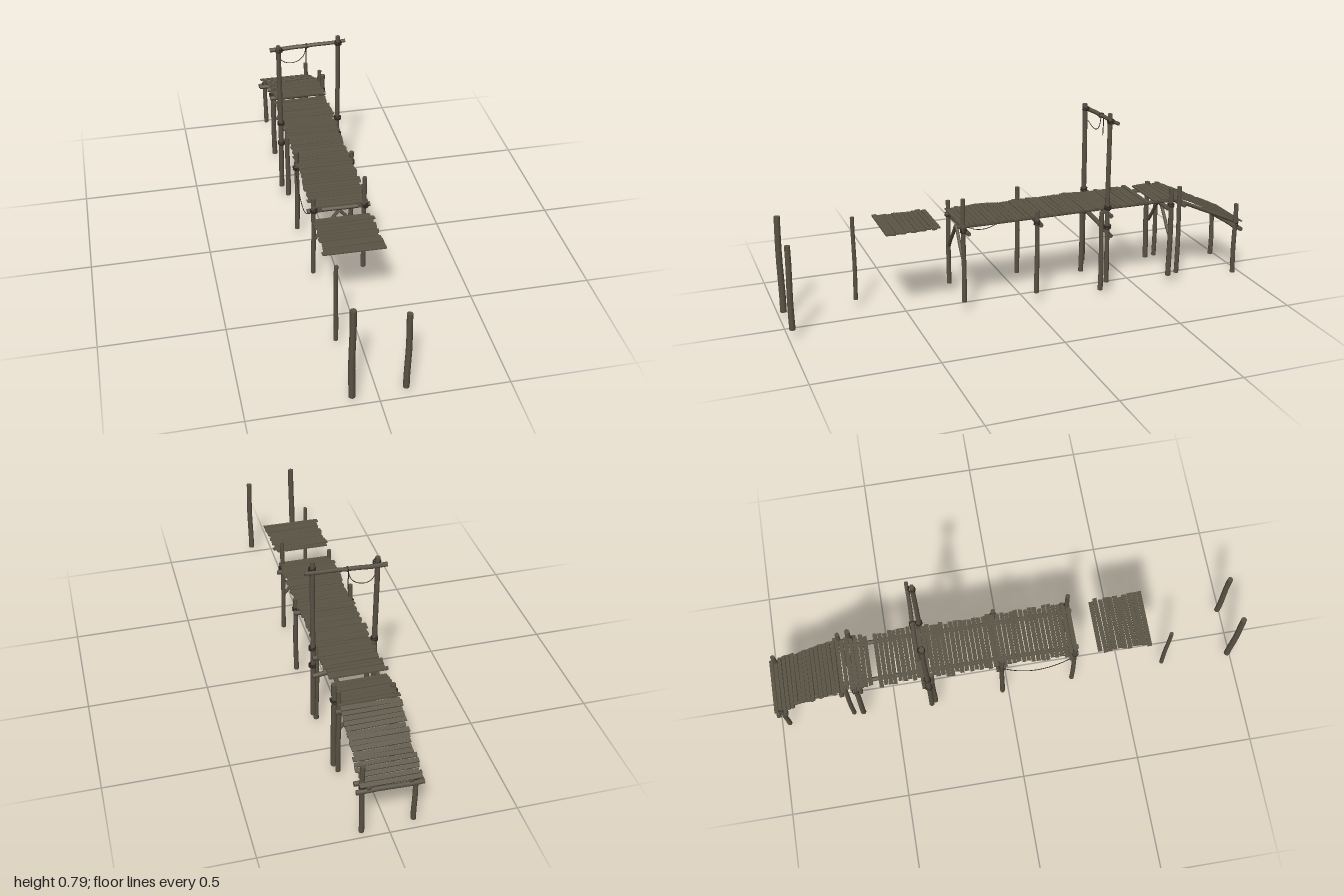
import * as THREE from 'three';

export function createModel() {
  const model = new THREE.Group();
  const mat = (name, color, side = THREE.FrontSide) => {
    const m = new THREE.MeshStandardMaterial({ color, side });
    m.name = name;
    return m;
  };
  const logWood = mat('log wood', 0x595144);
  const plankWood = mat('plank wood', 0x5a5445);
  const ropeFibre = mat('rope', 0x2c2822);

  let seed = 11;
  const rand = () => (seed = (seed * 16807) % 2147483647) / 2147483647;
  const jit = (a) => (rand() * 2 - 1) * a;
  const V = (x, y, z) => new THREE.Vector3(x, y, z);
  const UP = V(0, 1, 0);

  const add = (name, geo, material) => {
    const mesh = new THREE.Mesh(geo, material);
    mesh.name = name;
    model.add(mesh);
    return mesh;
  };

  // A slightly crooked round log between two points
  function log(name, a, b, r) {
    const dir = b.clone().sub(a), len = dir.length();
    const geo = new THREE.CylinderGeometry(r * 0.92, r, len, 9, 6);
    const pos = geo.attributes.position, phase = rand() * 6, bend = r * 0.12;
    for (let i = 0; i < pos.count; i++) {
      const t = pos.getY(i) / len;
      pos.setX(i, pos.getX(i) + Math.sin(t * 7 + phase) * bend);
      pos.setZ(i, pos.getZ(i) + Math.cos(t * 6 + phase) * bend);
    }
    geo.computeVertexNormals();
    const mesh = add(name, geo, logWood);
    mesh.position.copy(a).lerp(b, 0.5);
    mesh.quaternion.setFromUnitVectors(UP, dir.normalize());
    return mesh;
  }
  const post = (x, z, y0, y1, r = 0.011) => log('post', V(x, y0, z), V(x + jit(0.002), y1, z), r);

  // Rope wrapped in a few turns round a post
  function lashing(x, y, z, r = 0.012) {
    for (let i = -1; i <= 1; i++) {
      const ring = add('lashing', new THREE.TorusGeometry(r, 0.0025, 5, 12), ropeFibre);
      ring.position.set(x, y + i * 0.006, z);
      ring.rotation.set(Math.PI / 2 + jit(0.2), jit(0.2), 0);
    }
  }

  function rope(points, r = 0.0016) {
    add('rope', new THREE.TubeGeometry(new THREE.CatmullRomCurve3(points), 28, r, 5), ropeFibre);
  }

  // A row of rough boards from (z0, y0) to (z1, y1)
  function boards(name, z0, y0, z1, y1, n, xMin = -0.117, xMax = 0.112) {
    const dz = z1 - z0, dy = y1 - y0, pitch = Math.hypot(dz, dy) / n;
    const tilt = -Math.atan2(dy, dz);
    for (let i = 0; i < n; i++) {
      const t = (i + 0.5) / n, l = xMin + jit(0.008), r = xMax + jit(0.008);
      const geo = new THREE.BoxGeometry(r - l, 0.006, pitch * (0.9 + jit(0.08)));
      const p = geo.attributes.position, skew = jit(0.003);
      for (let k = 0; k < p.count; k++) {
        if (p.getZ(k) > 0) p.setX(k, p.getX(k) + skew);
      }
      const board = add(name, geo, plankWood);
      board.position.set((l + r) / 2, y0 + dy * t + jit(0.0015), z0 + dz * t);
      board.rotation.set(tilt + jit(0.03), jit(0.014), jit(0.006));
    }
  }

  // Walkway, with a gap where a board is missing, loose far section and ramp
  boards('deckBoard', -0.54, 0.382, 0.292, 0.382, 42);
  boards('deckBoard', -0.70, 0.382, -0.563, 0.382, 7);
  boards('looseBoard', 0.372, 0.384, 0.60, 0.384, 11, -0.127, 0.106);
  boards('rampBoard', -0.995, 0.24, -0.70, 0.378, 16);

  // Long bearers under the deck and the ramp
  for (const s of [-1, 1]) {
    log('deckBearer', V(s * 0.08, 0.37, -0.69), V(s * 0.08, 0.37, 0.298), 0.009);
    log('rampBearer', V(s * 0.08, 0.226, -0.99), V(s * 0.08, 0.367, -0.685), 0.009);
  }

  // Free-standing posts: x, z, bottom, top, radius
  [[-0.105, 0.985, 0.03, 0.44, 0.0135], [0.101, 0.985, 0.04, 0.39, 0.0125], [-0.1, 0.685, 0.04, 0.40, 0.009],
    // Deck posts
    [-0.107, 0.28, 0.05, 0.42, 0.010], [0.1, 0.28, 0.05, 0.493, 0.010],
    [-0.116, -0.03, 0.05, 0.44, 0.0105], [0.118, -0.03, 0.05, 0.41, 0.0105],
    [-0.103, -0.325, 0.02, 0.365, 0.011], [0.106, -0.325, 0.015, 0.365, 0.011],
    [-0.112, -0.64, 0.04, 0.395, 0.0115], [0.118, -0.64, 0.04, 0.437, 0.0115],
    [-0.108, -0.682, 0.045, 0.39, 0.010], [0.112, -0.682, 0.045, 0.437, 0.010],
    // Ramp foot posts
    [-0.1, -0.967, 0.015, 0.245, 0.0105], [0.1, -0.967, 0.0, 0.32, 0.0105],
    // Tall gate posts
    [-0.128, -0.342, 0.06, 0.77, 0.0112], [0.123, -0.342, 0.055, 0.79, 0.0105],
  ].forEach((p) => post(...p));

  // Crossbeams tied to the posts: z, y on the right, y on the left
  [[0.266, 0.35, 0.352], [-0.045, 0.352, 0.348], [-0.358, 0.352, 0.35], [-0.622, 0.352, 0.35],
    [-0.698, 0.352, 0.354], [-0.982, 0.212, 0.212], [-0.952, 0.222, 0.226], [-0.358, 0.29, 0.262],
  ].forEach(([z, yl, yr]) => log('crossbeam', V(-0.128, yl, z), V(0.128, yr, z), 0.0105));

  // Diagonal braces
  for (const z of [0.28, -0.645]) {
    for (const s of [-1, 1]) log('brace', V(s * 0.1, 0.222, z), V(s * 0.004, 0.345, z), 0.0075);
  }

  // Lashings at the joints
  for (const s of [-1, 1]) {
    lashing(s * 0.104, 0.36, 0.28, 0.0125);
    lashing(s * 0.117, 0.36, -0.03, 0.0125);
    lashing(s * 0.126, 0.39, -0.342, 0.0135);
    lashing(s * 0.126, s > 0 ? 0.305 : 0.29, -0.342, 0.0135);
    lashing(s * 0.115, 0.36, -0.64, 0.0135);
    lashing(s * 0.1, 0.225, -0.967, 0.0125);
    lashing(s * 0.126, s > 0 ? 0.757 : 0.748, -0.345, 0.0135);
  }

  // Gate crossbar
  log('gateCrossbar', V(-0.163, 0.744, -0.362), V(0.0, 0.748, -0.362), 0.0095);
  log('gateCrossbar', V(-0.01, 0.748, -0.362), V(0.16, 0.755, -0.362), 0.0085);

  // Slack rope on the gate with a hanging end
  rope([V(-0.12, 0.70, -0.352), V(-0.10, 0.681, -0.36), V(-0.07, 0.674, -0.362),
    V(-0.037, 0.685, -0.362), V(-0.017, 0.71, -0.362), V(-0.008, 0.757, -0.362)]);
  rope([V(-0.007, 0.757, -0.373), V(-0.007, 0.71, -0.373), V(-0.007, 0.662, -0.371)], 0.002);
  const knot = add('ropeLoop', new THREE.TorusGeometry(0.0105, 0.002, 5, 12), ropeFibre);
  knot.position.set(-0.007, 0.748, -0.362);
  knot.rotation.y = Math.PI / 2;

  // Slack rope slung between two deck posts
  const sag = [];
  for (let i = 0; i <= 8; i++) {
    const t = i / 8;
    sag.push(V(-0.118 - 0.004 * t, 0.36 - 0.092 * (1 - (2 * t - 1) ** 2), 0.275 - 0.3 * t));
  }
  rope(sag);

  return model;
}
